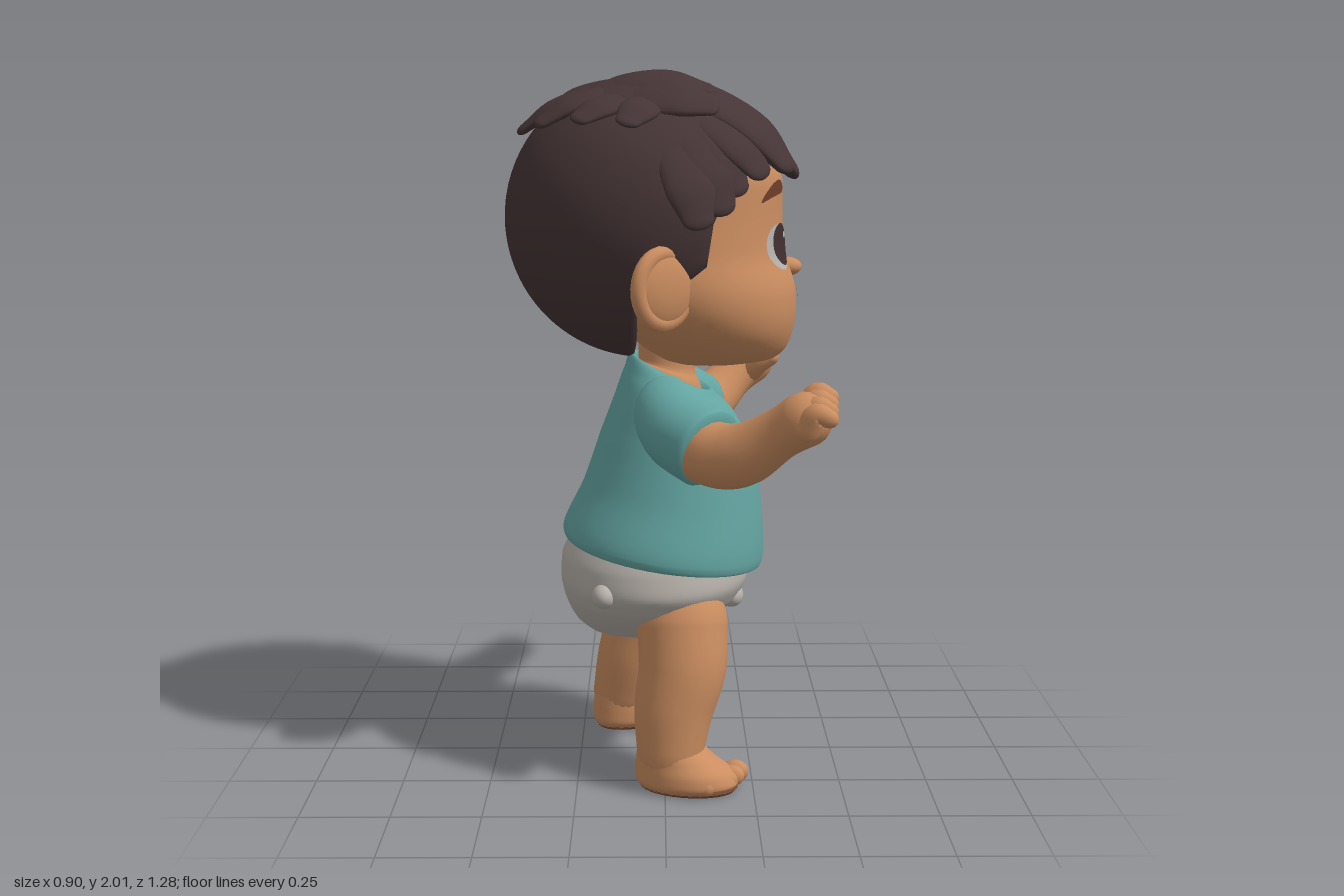
import * as THREE from 'three';

const V = (x, y, z) => new THREE.Vector3(x, y, z);
const paint = (name, color) => Object.assign(new THREE.MeshStandardMaterial({ color }), { name });

// Closed rings of points, joined into one smooth skin
function skinRings(rows) {
  const n = rows[0].length, pos = [], index = [];
  rows.forEach(r => r.forEach(p => pos.push(p.x, p.y, p.z)));
  for (let i = 0; i < rows.length - 1; i++) for (let j = 0; j < n; j++) {
    const a = i * n + j, b = i * n + (j + 1) % n;
    index.push(a, a + n, b, b, a + n, b + n);
  }
  const g = new THREE.BufferGeometry();
  g.setAttribute('position', new THREE.Float32BufferAttribute(pos, 3));
  g.setIndex(index);
  g.computeVertexNormals();
  return g;
}

// Stacked ellipses from keys [y, halfWidth, zFront, zBack, tilt]
function loft(keys, steps = 40, sides = 40) {
  const size = new THREE.CatmullRomCurve3(keys.map(k => V(k[1], k[2], k[3])));
  const level = new THREE.CatmullRomCurve3(keys.map(k => V(k[0], k[4] || 0, 0)));
  const rows = [];
  for (let i = -1; i <= steps + 1; i++) {
    const t = Math.min(Math.max(i / steps, 0), 1), s = size.getPoint(t), l = level.getPoint(t);
    const shrink = i < 0 || i > steps ? 0 : 1, row = [];
    for (let j = 0; j < sides; j++) {
      const a = j / sides * Math.PI * 2;
      const z = (s.y + s.z) / 2 + shrink * Math.sin(a) * (s.y - s.z) / 2;
      row.push(V(shrink * s.x * Math.cos(a), l.x + l.y * z, z));
    }
    rows.push(row);
  }
  return skinRings(rows);
}

// Round-ended tapered limb through points [x, y, z, radius]; cap sets how far the ends bulge
function limb(pts, { up = () => V(0, 0, 1), flat = 1, cap = 1, steps = 16, sides = 18 } = {}) {
  const path = new THREE.CatmullRomCurve3(pts.map(p => V(p[0], p[1], p[2])));
  const girth = new THREE.CatmullRomCurve3(pts.map(p => V(p[3], 0, 0)));
  const rows = [];
  const ring = (t, c) => {
    const dir = path.getTangent(t), r = girth.getPoint(t).x, centre = path.getPoint(t);
    const u = dir.clone().cross(up(centre)).normalize(), w = u.clone().cross(dir);
    const k = Math.cos(c) * r, row = [];
    centre.addScaledVector(dir, Math.sin(c) * r * cap);
    for (let j = 0; j < sides; j++) {
      const a = j / sides * Math.PI * 2;
      row.push(centre.clone().addScaledVector(u, k * Math.cos(a)).addScaledVector(w, k * flat * Math.sin(a)));
    }
    rows.push(row);
  };
  for (let i = -5; i < 0; i++) ring(0, i / 5 * Math.PI / 2);
  for (let i = 0; i <= steps; i++) ring(i / steps, 0);
  for (let i = 1; i <= 5; i++) ring(1, i / 5 * Math.PI / 2);
  return skinRings(rows);
}

export function createModel() {
  const skin = paint('skin', 0xca8d60), hair = paint('hair', 0x463536), shirt = paint('shirt', 0x63a4a1);
  const cloth = paint('diaper', 0xb6b0a9), white = paint('eyeWhite', 0xb5b2ae), dark = paint('iris', 0x412e2e);
  const brown = paint('brow', 0x6e3d2b), red = paint('mouth', 0x8c4a3a), teeth = paint('teeth', 0x75867f);
  const sole = paint('sole', 0x744a34);
  const body = new THREE.Group();
  body.name = 'toddler';
  const add = (name, geo, mat, parent = body) => {
    const m = new THREE.Mesh(geo, mat);
    m.name = name;
    parent.add(m);
    return m;
  };
  const ball = (name, mat, p, s, parent = body) => {
    const m = add(name, new THREE.SphereGeometry(1, 24, 16), mat, parent);
    m.position.set(...p);
    m.scale.set(...s);
  };

  // Head
  const head = add('head', loft([
    [1.18, .09, .24, .02], [1.195, .16, .315, -.02], [1.225, .225, .35, -.06], [1.28, .295, .37, -.13],
    [1.35, .34, .378, -.23], [1.42, .354, .37, -.3], [1.5, .347, .342, -.34], [1.6, .338, .336, -.36],
    [1.7, .332, .335, -.36], [1.8, .292, .295, -.32], [1.88, .215, .21, -.25], [1.94, .1, .06, -.15],
  ], 48, 56), skin);
  ball('nose', skin, [.035, 1.452, .35], [.04, .028, .047]);
  for (const s of [-1, 1]) {
    const ear = new THREE.Group();
    ear.name = s > 0 ? 'leftEar' : 'rightEar';
    ear.position.set(s * .382, 1.427, -.005);
    ear.rotation.set(0, s * .82, -s * .15);
    body.add(ear);
    ball('earShell', skin, [-s * .01, 0, -.008], [.115, .11, .042], ear);
    const rim = add('earRim', new THREE.TorusGeometry(.084, .021, 12, 32), skin, ear);
    rim.scale.set(1.06, 1.1, 1);
  }

  // Face details laid on the head surface
  const caster = new THREE.Raycaster();
  const decal = (name, mat, lift, place) => {
    const g = new THREE.RingGeometry(.001, 1, 36, 6), p = g.attributes.position;
    for (let i = 0; i < p.count; i++) {
      const [x, y] = place(p.getX(i), p.getY(i));
      caster.set(V(x, y, 2), V(0, 0, -1));
      const hit = caster.intersectObject(head)[0];
      p.setXYZ(i, x, y, (hit ? hit.point.z : .3) + lift);
    }
    g.computeVertexNormals();
    add(name, g, mat);
  };
  const oval = (x, y, rx, ry) => (u, v) => [x + u * rx, y + v * ry];
  for (const [side, s, x] of [['right', -1, -.133], ['left', 1, .182]]) {
    decal(side + 'EyeWhite', white, .004, oval(x, 1.52, .068, .063));
    decal(side + 'Iris', dark, .007, oval(x - s * .014, 1.527, .054, .058));
    decal(side + 'EyeGlint', white, .009, oval(x - s * .014 + .027, 1.552, .009, .009));
    decal(side + 'Brow', brown, .005, (u, v) => {
      const out = u * s;
      return [x + s * .014 + u * .064, 1.68 - out * .018 - u * u * .016 + v * .016 * (1.2 - out * .4)];
    });
  }
  decal('mouth', red, .004, (u, v) => [.027 + u * .074, 1.392 + v * (v > 0 ? .012 : .085)]);
  decal('teeth', teeth, .007, (u, v) => [.027 + u * .066, 1.388 + v * (v > 0 ? .008 : .026)]);

  // Hair cap: a ball cut by a hairline given as [angle around, reach toward the face] in degrees
  const hc = V(0, 1.595, -.055), R = .398, rad = Math.PI / 180;
  const line = [[0, 120], [13, 124], [30, 127], [60, 128], [90, 132], [120, 138], [150, 130], [180, 116], [200, 113],
    [207, 100], [214, 85], [270, 83], [326, 85], [333, 100], [340, 115], [360, 120]];
  const reach = f => {
    const i = Math.max(1, line.findIndex(k => k[0] >= f)), [a, b] = [line[i - 1], line[i]];
    return a[1] + (b[1] - a[1]) * (f - a[0]) / (b[0] - a[0]);
  };
  const capRows = [], capRow = (k, r, extra) => {
    const row = [];
    for (let j = 0; j < 96; j++) {
      const f = 360 - (j + 1) * 3.75, t = (reach(f) * k + extra) * rad, c = Math.cos(f * rad), s = Math.sin(f * rad);
      row.push(V(Math.sin(t) * c, Math.sin(t) * s, -Math.cos(t)).multiplyScalar(r).add(hc));
    }
    capRows.push(row);
  };
  for (let i = 0; i <= 28; i++) capRow(i / 28, R, 0);
  capRow(1, .39, 2);
  capRow(1, .37, 2.5);
  capRow(1, .25, 0);
  add('hairCap', skinRings(capRows), hair);

  // Hair locks from root to tip, relative to the hair centre: [root, tip, halfWidth, tipRadius]
  const locks = [
    [[-.1, .39, .05], [-.145, .155, .36], .1, .435], [[0, .4, 0], [.01, .14, .39], .11, .43],
    [[.08, .38, .05], [.11, .19, .34], .07, .425], [[-.18, .33, .1], [-.25, .14, .3], .08, .42],
    [[-.28, .28, .06], [-.4, .015, .14], .07, .425], [[-.25, .3, .1], [-.35, .05, .2], .075, .405],
    [[-.22, .3, .1], [-.31, .1, .25], .07, .4],
    [[-.05, .4, -.05], [-.05, .24, -.32], .065, .42], [[-.1, .4, -.02], [-.17, .25, -.26], .06, .425],
    [[-.15, .36, 0], [-.26, .26, -.16], .055, .425], [[-.15, .36, .05], [-.3, .25, -.04], .055, .42],
    [[.02, .4, 0], [.06, .3, -.26], .07, .402], [[.08, .38, -.2], [.14, .34, .16], .08, .396],
    [[0, .38, -.2], [.04, .37, .17], .08, .4], [[-.1, .37, -.18], [-.08, .36, .17], .08, .4],
    [[-.2, .34, -.1], [-.2, .31, .17], .08, .41],
  ];
  const outward = p => p.clone().sub(hc);
  for (const [root, tip, w, tipR] of locks) {
    const pts = [0, .35, .7, 1].map((t, i) => {
      const p = V(...root).lerp(V(...tip), t).setLength([.37, .378, (.383 + tipR) / 2, tipR][i]).add(hc);
      return [p.x, p.y, p.z, w * [.6, .95, 1, .65][i]];
    });
    add('hairLock', limb(pts, { up: outward, flat: .32, cap: .64 }), hair);
  }

  // Neck and shirt with a scooped collar
  add('neck', loft([[1.08, .12, .115, -.09, -.45], [1.145, .109, .109, -.082, -.45], [1.18, .088, .088, -.075, -.2],
    [1.26, .085, .09, -.075]], 16), skin);
  add('shirtBody', loft([
    [.64, .295, .265, -.275, -.15], [.63, .315, .283, -.29, -.15], [.655, .323, .29, -.297, -.15], [.8, .286, .285, -.235, -.15],
    [.95, .252, .262, -.185, -.16], [1.07, .222, .205, -.14, -.2], [1.13, .18, .155, -.115, -.32],
    [1.162, .13, .128, -.095, -.5], [1.14, .113, .11, -.085, -.5],
  ], 48, 48), shirt);

  // Arms, sleeves and hands
  const upY = () => V(0, 1, 0), upX = () => V(1, 0, 0);
  for (const [side, s, dz, lift] of [['right', -1, 0, 0], ['left', 1, -.08, .025]]) {
    add(side + 'Sleeve', limb([[s * .13, 1.1, 0, .07], [s * .2, 1.065, .01, .1], [s * .27, 1.025, .045, .112],
      [s * .345, .992, .115 + dz * .35, .113]], { up: upY, cap: .2, steps: 24, sides: 28 }), shirt);
    add(side + 'Arm', limb([[s * .3, 1.01, .06, .08], [s * .37, .982, .125 + dz * .5, .09], [s * .43, .99, .2 + dz * .8, .087],
      [s * .5, 1.065, .305 + dz, .068], [s * .537, 1.105, .36 + dz, .073]], { up: upY, steps: 24 }), skin);
    for (let i = 0; i < 4; i++) {
      const x = s * (.488 + i * .035), y = 1.125 - i * .012, z = .375 + dz - i * .004, o = s * i * .005;
      add(side + 'Finger', limb([[x, y, z, .034], [x + o, y + .042 + lift, z + .02, .03],
        [x + o, y + .03 + lift, z + .053, .024]], { up: upX, steps: 8, sides: 12 }), skin);
    }
    add(side + 'Thumb', limb([[s * .5, 1.075, .35 + dz, .042], [s * .452, 1.085 + lift, .385 + dz, .033],
      [s * .436, 1.105 + lift, .42 + dz, .025]], { up: upY, steps: 8, sides: 12 }), skin);
  }

  // Diaper with soft gathers
  add('diaper', loft([[.36, .04, .0, -.15], [.38, .1, .06, -.21], [.43, .2, .15, -.265], [.5, .3, .222, -.295],
    [.56, .333, .245, -.305], [.62, .32, .24, -.3], [.68, .29, .22, -.27]]), cloth);
  for (const s of [-1, 1])
    for (const [x, y, z] of [[.085, .505, .195], [.27, .555, -.17]])
      ball('gather', cloth, [s * x, y, z], [.045, .035, .035]);

  // Legs, feet with dark soles, and toes
  const legs = [
    ['right', [[-.2, .46, .05, .13], [-.237, .34, .05, .125], [-.262, .22, .025, .113], [-.282, .11, .015, .096]], -.22],
    ['left', [[.2, .46, -.01, .13], [.215, .34, -.055, .123], [.215, .22, -.095, .112], [.222, .11, -.125, .096]], .6],
  ];
  for (const [side, pts, turn] of legs) {
    add(side + 'Leg', limb(pts, { steps: 24, sides: 28 }), skin);
    const foot = new THREE.Group(), s = Math.sign(turn), [x, , z] = pts[3];
    foot.name = side + 'Foot';
    foot.position.set(x, 0, z);
    foot.rotation.y = turn;
    body.add(foot);
    add('footBody', loft([[.008, .088, .182, -.088], [.025, .1, .196, -.1], [.055, .099, .18, -.1], [.085, .093, .135, -.098],
      [.12, .09, .093, -.092], [.16, .082, .072, -.08]], 20, 32), skin, foot);
    add('sole', loft([[0, .084, .186, -.084], [.009, .091, .194, -.091]], 2, 32), sole, foot);
    for (let i = 0; i < 5; i++) {
      const r = .032 - i * .002;
      ball('toe', skin, [s * (-.056 + i * .031), r + .004, .178 - i * i * .004], [r * .85, r, r * 1.2], foot);
    }
  }

  // The child looks along +x
  body.rotation.y = Math.PI / 2;
  const model = new THREE.Group();
  model.name = 'toddlerFigure';
  model.add(body);
  return model;
}
